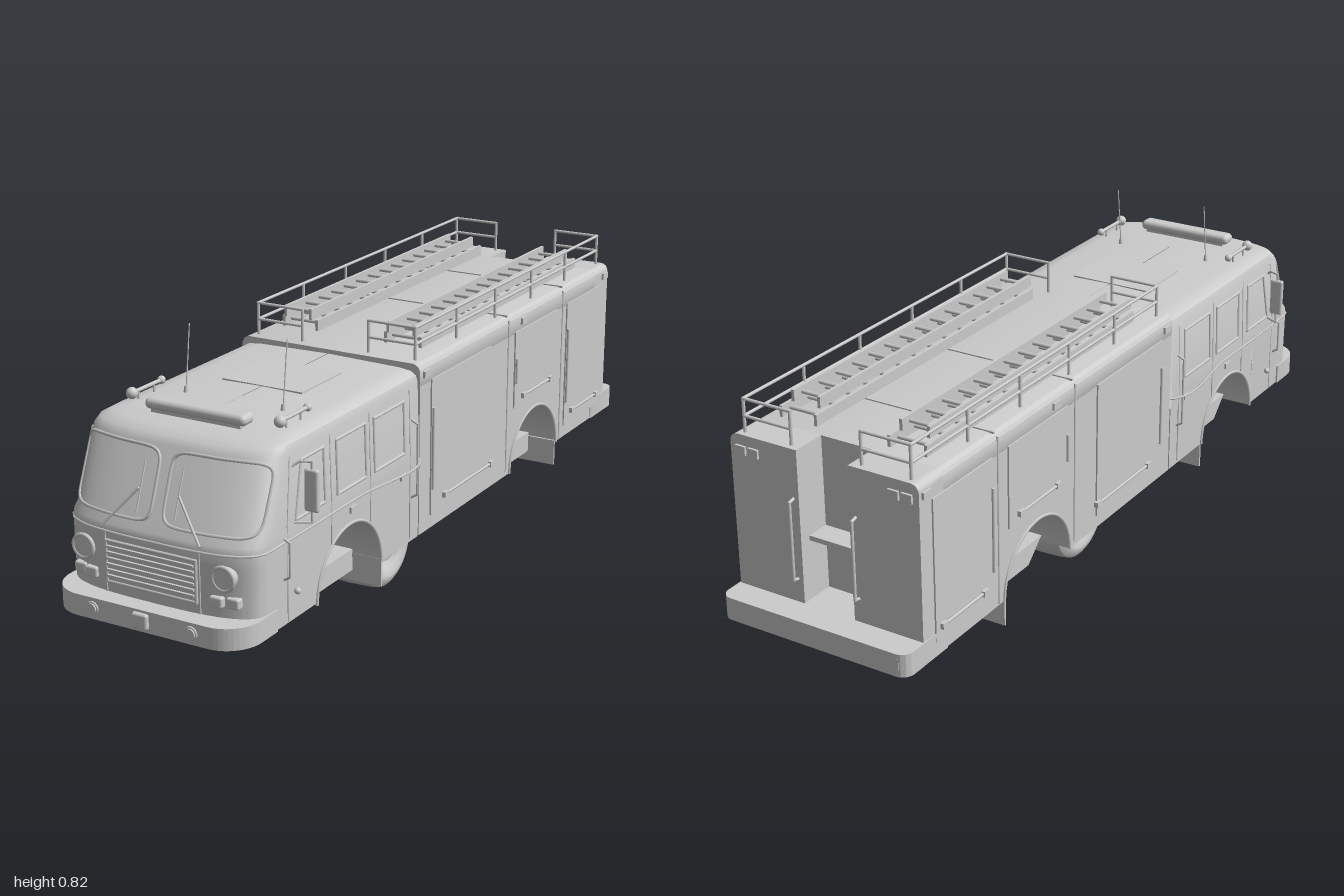
import * as THREE from 'three';
import { toCreasedNormals } from 'three/addons/utils/BufferGeometryUtils.js';
import { RoundedBoxGeometry } from 'three/addons/geometries/RoundedBoxGeometry.js';

const grey = new THREE.MeshStandardMaterial({ color: 0xcccccc, side: THREE.DoubleSide });
grey.name = 'plain grey';
const V = (x, y, z) => new THREE.Vector3(x, y, z);

export function createModel() {
  const root = new THREE.Group();
  root.name = 'fireTruck';

  const add = (name, geo, x = 0, y = 0, z = 0) => {
    const m = new THREE.Mesh(geo, grey);
    m.name = name;
    m.position.set(x, y, z);
    root.add(m);
    return m;
  };
  // box given by its limits
  const box = (name, x0, x1, y0, y1, z0, z1) => add(name,
    new THREE.BoxGeometry(Math.abs(x1 - x0), Math.abs(y1 - y0), Math.abs(z1 - z0)),
    (x0 + x1) / 2, (y0 + y1) / 2, (z0 + z1) / 2);
  const rod = (name, r, ...pts) => {
    for (let i = 1; i < pts.length; i++) {
      const d = pts[i].clone().sub(pts[i - 1]);
      const m = add(name, new THREE.CylinderGeometry(r, r, d.length() + r, 8));
      m.position.copy(pts[i]).add(pts[i - 1]).multiplyScalar(0.5);
      m.quaternion.setFromUnitVectors(V(0, 1, 0), d.normalize());
    }
  };
  const loop = (name, pts, r) => add(name,
    new THREE.TubeGeometry(new THREE.CatmullRomCurve3(pts, true), 96, r, 6, true));
  const roundRect = (x0, y0, x1, y1, rb, rt = rb) => {
    const s = new THREE.Shape(), h = Math.PI / 2;
    s.moveTo(x0 + rb, y0);
    s.absarc(x1 - rb, y0 + rb, rb, -h, 0);
    s.absarc(x1 - rt, y1 - rt, rt, 0, h);
    s.absarc(x0 + rt, y1 - rt, rt, h, 2 * h);
    s.absarc(x0 + rb, y0 + rb, rb, 2 * h, 3 * h);
    return s;
  };
  const extrude = (s, depth) => toCreasedNormals(
    new THREE.ExtrudeGeometry(s, { depth, bevelEnabled: false, curveSegments: 16 }), 0.6);
  // side profile in (z, y), extruded from x0 to x1
  const across = (name, s, x0, x1) =>
    add(name, extrude(s, x1 - x0).rotateY(-Math.PI / 2), x1);
  const slab = (name, s, y0, y1) => add(name, extrude(s, y1 - y0).rotateX(-Math.PI / 2), 0, y0);
  const archPanel = (z0, z1, y0, y1, zc, r) => {
    const s = new THREE.Shape();
    s.moveTo(z0, y0);
    s.lineTo(zc - r, y0);
    s.absarc(zc, y0, r, Math.PI, 0, true);
    s.lineTo(z1, y0); s.lineTo(z1, y1); s.lineTo(z0, y1);
    return s;
  };

  // Cab shell: horizontal rings [y, front z, half width]
  const rings = [[0.24, 0.955, 0.255], [0.44, 0.955, 0.257], [0.455, 0.95, 0.257], [0.47, 0.935, 0.256],
    [0.635, 0.872, 0.251], [0.65, 0.855, 0.246], [0.659, 0.825, 0.232], [0.663, 0.78, 0.2], [0.667, 0.66, 0.001]];
  const ringAt = y => {
    const i = Math.max(1, rings.findIndex(r => r[0] >= y)), a = rings[i - 1], b = rings[i];
    return a.map((v, k) => v + (b[k] - v) * (y - a[0]) / (b[0] - a[0]));
  };
  const BULGE = 0.09, N = 3;
  const frontPoint = (x, y, off = 0) => {
    const [, f, w] = ringAt(y), u = Math.min(1, Math.abs(x) / w);
    return V(x, y, f - BULGE + BULGE * Math.pow(1 - u ** N, 1 / N) + off);
  };
  const cabShell = (name, list, zBack) => {
    const pos = [], idx = [], seg = 40, cols = seg + 3;
    for (const [y, f, w] of list) {
      pos.push(w, y, zBack);
      for (let i = 0; i <= seg; i++) {
        const t = i / seg * Math.PI, c = Math.cos(t);
        pos.push(w * Math.sign(c) * Math.abs(c) ** (2 / N), y,
          f - BULGE + BULGE * Math.abs(Math.sin(t)) ** (2 / N));
      }
      pos.push(-w, y, zBack);
    }
    for (let j = 0; j < list.length - 1; j++) for (let i = 0; i < cols - 1; i++) {
      const a = j * cols + i, b = a + cols;
      idx.push(a, b, a + 1, a + 1, b, b + 1);
    }
    const g = new THREE.BufferGeometry();
    g.setAttribute('position', new THREE.Float32BufferAttribute(pos, 3));
    g.setIndex(idx);
    add(name, toCreasedNormals(g, 0.6));
  };
  cabShell('cabUpper', [ringAt(0.41), ...rings.slice(1)], 0.2);
  cabShell('cabNose', [rings[0], ringAt(0.41)], 0.68);
  across('cabLower', archPanel(0.2, 0.68, 0.235, 0.41, 0.53, 0.148), -0.255, 0.255);
  box('cabFloor', -0.25, 0.25, 0.237, 0.245, 0.68, 0.9);
  loop('beltLine', [[0.256, 0.2], [0.258, 0.5], [0.258, 0.8]].map(p => V(p[0], 0.438, p[1]))
    .concat([0.25, 0.2, 0.1, 0, -0.1, -0.2, -0.25].map(x => frontPoint(x, 0.438, 0.001)),
      [V(-0.258, 0.438, 0.8), V(-0.258, 0.438, 0.5), V(-0.256, 0.438, 0.2)]), 0.003);

  // Compartment body with rear recess
  across('bodyLower', archPanel(-0.84, 0.195, 0.235, 0.62, -0.457, 0.148), -0.255, 0.255);
  add('bodyRoof', extrude(roundRect(-0.255, 0.62, 0.255, 0.676, 0.001, 0.022), 1.035), 0, 0, -0.84);
  for (const s of [1, -1]) {
    box('rearLocker', s * 0.07, s * 0.255, 0.235, 0.655, -0.93, -0.84);
    box('rearLockerTop', s * 0.07, s * 0.235, 0.655, 0.676, -0.93, -0.84);
    const cap = new THREE.CylinderGeometry(0.021, 0.021, 0.09, 16).rotateX(Math.PI / 2);
    add('rearLockerEdge', cap, s * 0.234, 0.655, -0.885);
  }
  box('rearStep', -0.07, 0.07, 0.44, 0.452, -0.9, -0.84);
  for (const z of [-0.29, -0.63]) box('roofSeam', -0.25, 0.25, 0.674, 0.679, z - 0.003, z + 0.003);
  box('roofHatch', -0.11, 0.11, 0.66, 0.669, 0.32, 0.5);

  // Bumpers, chassis and mud flaps
  slab('frontBumper', roundRect(-0.26, -1, 0.26, -0.85, 0.085, 0.001), 0.24, 0.292);
  slab('rearBumper', roundRect(-0.258, 0.84, 0.258, 1, 0.002, 0.03), 0.235, 0.292);
  for (const [zc, z1, z0] of [[0.53, 0.62, 0.38], [-0.457, -0.37, -0.6]]) {
    across('chassisBlock', new THREE.Shape([[z0, 0.195], [z1, 0.195], [zc + 0.147, 0.25], [z0, 0.25]]
      .map(p => new THREE.Vector2(...p))), -0.175, 0.175);
    box('wheelWellCore', -0.11, 0.11, 0.24, 0.39, zc - 0.14, zc + 0.14);
    for (const s of [1, -1]) box('mudFlap', s * 0.108, s * 0.255, 0.168, 0.24, z0 - 0.003, z0 + 0.003);
  }
  box('chassisRail', -0.175, 0.175, 0.212, 0.24, 0.19, 0.38);

  // Wheel
  const tyre = [[0.03, -0.075], [0.034, -0.082], [0.045, -0.08], [0.048, -0.06], [0.062, -0.06], [0.066, -0.08],
    [0.085, -0.09], [0.1, -0.088], [0.114, -0.078], [0.118, -0.06], [0.12, 0], [0.118, 0.06], [0.114, 0.078],
    [0.1, 0.088], [0.085, 0.09], [0.066, 0.08], [0.062, 0.06], [0.048, 0.06], [0.045, 0.08], [0.03, 0.075], [0, 0.075]];
  add('wheel', toCreasedNormals(new THREE.LatheGeometry([[0, -0.075], ...tyre].map(p => new THREE.Vector2(...p)), 48)
    .rotateZ(Math.PI / 2), 0.7), 0, 0.12, 0.04);

  // Grille and centre lights
  const grille = [[-0.12, 0.32], [0.12, 0.32], [0.12, 0.418], [-0.12, 0.418], [-0.12, 0.32]];
  box('grillePanel', -0.118, 0.118, 0.322, 0.416, 0.95, 0.958);
  rod('grilleFrame', 0.004, ...grille.map(p => V(p[0], p[1], 0.957)));
  for (let i = 0; i < 6; i++) box('grilleSlat', -0.117, 0.117, 0.333 + i * 0.014, 0.338 + i * 0.014, 0.955, 0.964);
  add('bumperSiren', new RoundedBoxGeometry(0.042, 0.038, 0.03, 2, 0.006), 0, 0.267, 0.995);

  const disc = (name, r, d, x, y, z) =>
    add(name, new THREE.CylinderGeometry(r, r, d, 24).rotateX(Math.PI / 2), x, y, z);

  for (const s of [1, -1]) {
    // Windscreen frame and wipers
    const x0 = 0.016, x1 = 0.246, y0 = 0.472, y1 = 0.628, pane = [];
    for (let i = 0; i < 48; i++) {
      const t = i / 48 * Math.PI * 2, c = Math.cos(t), n = Math.sin(t);
      pane.push(frontPoint(s * ((x0 + x1) / 2 + (x1 - x0) / 2 * Math.sign(c) * Math.abs(c) ** 0.3),
        (y0 + y1) / 2 + (y1 - y0) / 2 * Math.sign(n) * Math.abs(n) ** 0.3, 0.001));
    }
    loop('windscreenFrame', pane, 0.004);
    rod('wiperArm', 0.003, frontPoint(s * 0.13, 0.452, 0.008), frontPoint(s * 0.055, 0.54, 0.01));
    rod('wiperBlade', 0.002, frontPoint(s * 0.051, 0.49, 0.006), frontPoint(s * 0.051, 0.598, 0.006));
    rod('noseSeam', 0.002, V(s * 0.126, 0.292, 0.952), V(s * 0.126, 0.438, 0.952));

    // Front lamps
    disc('headlight', 0.026, 0.03, s * 0.188, 0.388, 0.94);
    add('headlightRing', new THREE.TorusGeometry(0.027, 0.005, 8, 32), s * 0.188, 0.388, 0.952);
    for (const x of [0.168, 0.205])
      add('markerLamp', new RoundedBoxGeometry(0.033, 0.026, 0.03, 2, 0.005), s * x, 0.33, frontPoint(x, 0.33).z - 0.004);
    disc('bumperLamp', 0.012, 0.02, s * 0.133, 0.267, 0.996);
    add('bumperLampRing', new THREE.TorusGeometry(0.014, 0.003, 8, 24), s * 0.133, 0.267, 1);

    // Mirrors
    add('mirror', new RoundedBoxGeometry(0.036, 0.1, 0.014, 3, 0.006), s * 0.29, 0.545, 0.75);
    rod('mirrorArm', 0.003, V(s * 0.25, 0.6, 0.77), V(s * 0.265, 0.612, 0.76), V(s * 0.29, 0.612, 0.75),
      V(s * 0.29, 0.47, 0.75), V(s * 0.255, 0.47, 0.77));

    // Cab windows, door seams and grab rails
    const X = s * 0.256;
    for (const [a, b, slant] of [[0.765, 0.64, 0.03], [0.585, 0.455, 0], [0.415, 0.272, 0]]) {
      const c = [[a, 0.475], [b, 0.475], [b, 0.605], [a - slant, 0.605], [a, 0.475]];
      rod('sideWindowFrame', 0.004, ...c.map(p => V(s * (0.256 - (p[1] - 0.47) * 0.03), p[1], p[0])));
    }
    for (const [z, low] of [[0.8, 0.245], [0.612, 0.36], [0.435, 0.355], [0.243, 0.245]])
      rod('doorSeam', 0.002, V(X, low, z), V(X, 0.47, z), V(s * 0.251, 0.625, z - (z > 0.7 ? 0.02 : 0)));
    for (const z of [0.815, 0.235])
      rod('cabGrabRail', 0.003, V(X, 0.35, z), V(s * 0.272, 0.36, z), V(s * 0.272, 0.54 - (z > 0.5 ? 0.1 : 0), z),
        V(s * 0.252, 0.55 - (z > 0.5 ? 0.1 : 0), z));
    for (const z of [0.52, 0.28]) box('doorHandle', X, s * 0.262, 0.41, 0.425, z - 0.014, z + 0.014);
    add('sideMarker', new THREE.SphereGeometry(0.008, 12, 8), s * 0.262, 0.308, 0.77);

    // Wheel arch lips
    for (const zc of [0.53, -0.457])
      add('archLip', new THREE.TorusGeometry(0.148, 0.004, 6, 32, Math.PI).rotateY(Math.PI / 2), X, 0.235, zc);

    // Compartment doors with bars and handles
    for (const [a, b, low, barY, ha, hb] of [[0.14, -0.185, 0.27, 0.305, 0.07, -0.185],
      [-0.325, -0.585, 0.415, 0.44, -0.375, -0.54], [-0.65, -0.885, 0.27, 0.305, -0.695, -0.86]]) {
      box('compartmentDoor', s * 0.254, s * 0.259, low, 0.625, a, b);
      rod('doorLatchBar', 0.004, V(s * 0.262, barY, ha), V(s * 0.262, barY, hb));
      for (const z of [ha, hb]) box('latchEnd', s * 0.256, s * 0.268, barY - 0.007, barY + 0.007, z - 0.01, z + 0.01);
      rod('doorGrip', 0.004, V(s * 0.262, low + 0.07, a - 0.005), V(s * 0.262, 0.55, a - 0.005));
    }
    for (const z of [-0.288, -0.625]) rod('bodySeam', 0.003, V(s * 0.255, z < -0.6 ? 0.24 : 0.25, z), V(s * 0.255, 0.665, z));
    for (const z of [0.165, -0.375, -0.905]) box('sideLamp', s * 0.25, s * 0.261, 0.638, 0.655, z - 0.015, z + 0.015);

    // Rear lamps and grab rails
    for (const x of [0.19, 0.225]) box('rearLamp', s * (x - 0.014), s * (x + 0.014), 0.628, 0.65, -0.936, -0.925);
    for (const x of [0.165, 0.195, 0.225]) box('bumperRearLamp', s * (x - 0.011), s * (x + 0.011), 0.252, 0.28, -1, -0.99);
    rod('rearGrabRail', 0.004, V(s * 0.085, 0.35, -0.925), V(s * 0.085, 0.355, -0.945),
      V(s * 0.085, 0.55, -0.945), V(s * 0.085, 0.555, -0.925));

    // Horns and antennas
    rod('horn', 0.005, V(s * 0.2, 0.684, 0.73), V(s * 0.2, 0.684, 0.62));
    add('hornBell', new THREE.SphereGeometry(0.014, 16, 12), s * 0.2, 0.684, 0.735);
    add('hornTail', new THREE.SphereGeometry(0.01, 16, 12), s * 0.2, 0.684, 0.62);
    for (const z of [0.65, 0.71]) rod('hornFoot', 0.003, V(s * 0.2, 0.655, z), V(s * 0.2, 0.684, z));
    rod('antenna', 0.0015, V(s * 0.133, 0.66, 0.617), V(s * 0.133, 0.824, 0.596));
    add('antennaBase', new THREE.CylinderGeometry(0.004, 0.007, 0.02, 12), s * 0.133, 0.67, 0.616);

    // Roof railing
    for (const y of [0.757, 0.715])
      rod('roofRail', 0.004, V(s * 0.095, y, 0.165), V(s * 0.225, y, 0.165), V(s * 0.225, y, -0.913), V(s * 0.095, y, -0.913));
    for (let i = 0; i < 6; i++) rod('railPost', 0.004, V(s * 0.225, 0.67, 0.165 - i * 0.2156), V(s * 0.225, 0.757, 0.165 - i * 0.2156));
    for (const z of [0.165, -0.913]) rod('railEndPost', 0.004, V(s * 0.095, 0.67, z), V(s * 0.095, 0.757, z));

    // Stacked ladders
    for (const [a, b, low, zf, zr] of [[0.1, 0.197, 0.682, 0.09, -0.82], [0.112, 0.185, 0.712, 0.1, -0.79]]) {
      for (const x of [a, b]) box('ladderRail', s * (x - 0.004), s * (x + 0.004), low, low + 0.028, zf, zr);
      for (let i = 0; i < 14; i++) {
        const z = zf - 0.03 - i * (zf - zr - 0.06) / 13;
        rod('ladderRung', 0.005, V(s * a, low + 0.014, z), V(s * b, low + 0.014, z));
      }
    }
  }

  // Roof light bar
  add('lightBar', new RoundedBoxGeometry(0.27, 0.026, 0.046, 4, 0.012), 0, 0.683, 0.757);
  box('lightBarBase', -0.12, 0.12, 0.655, 0.675, 0.742, 0.772);

  return root;
}
